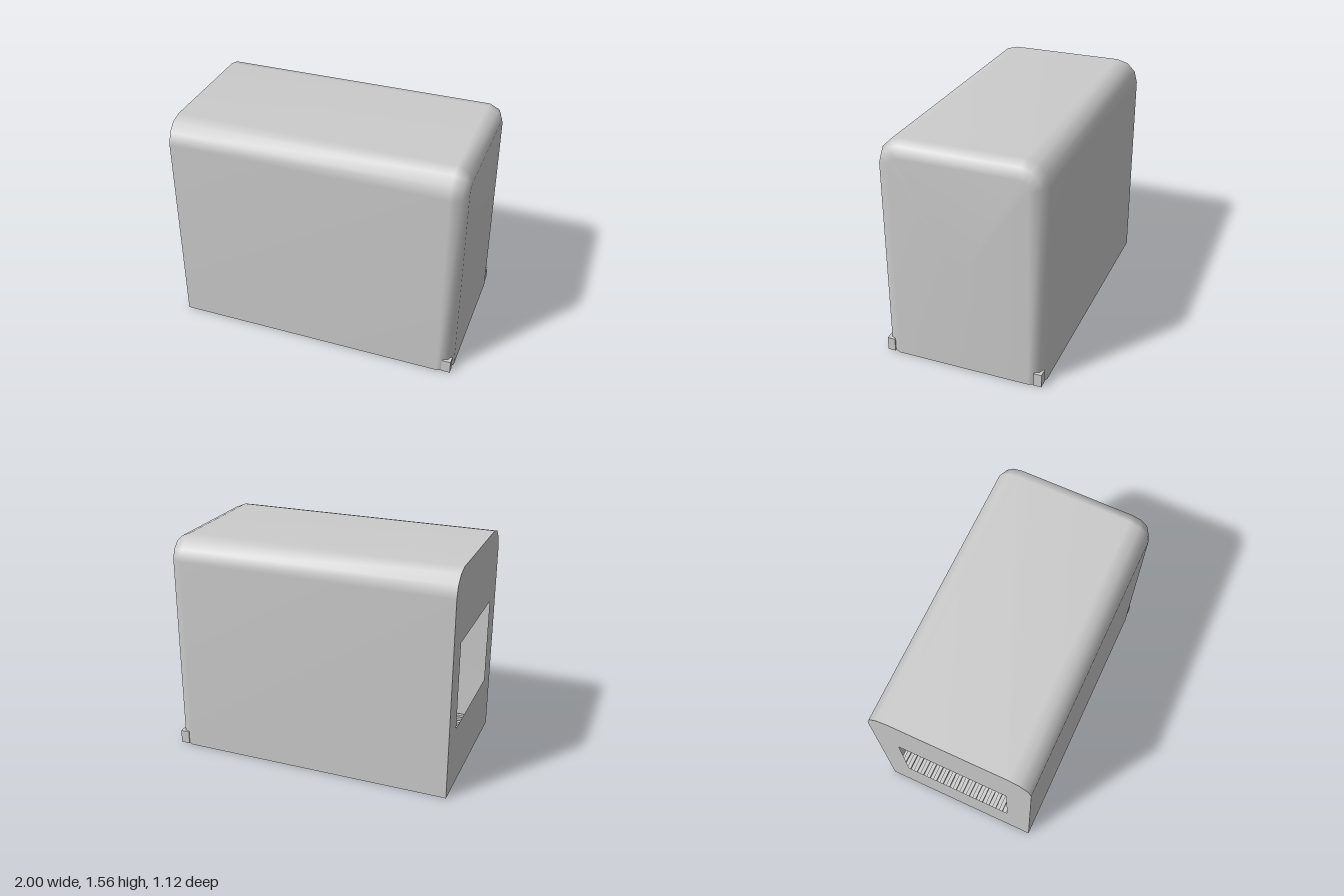
import * as THREE from 'three';

const HALF_W = 0.5625, TOP = 1.556, ROOF_R = 0.16, END_R = 0.1;

// Arch outline as [z, y] points, from the +z foot over the roof to the -z foot
function archPoints(inset) {
  const w = HALF_W - inset, r = ROOF_R - inset, cy = TOP - ROOF_R;
  const half = [[w, 0], [w, cy]];
  for (let k = 1; k <= 3; k++) {
    const a = (k / 3) * Math.PI / 2;
    half.push([w - r + r * Math.cos(a), cy + r * Math.sin(a)]);
  }
  return [...half, ...half.slice().reverse().map(([z, y]) => [-z, y])];
}

// Thin hood: arch lofted along x, rounded over into a closed end at +x
function hoodGeometry() {
  const rings = [[-1, 0], [0.9, 0], [0.97, 0.03], [1, END_R]];
  const pos = [], index = [];
  for (const [x, inset] of rings)
    for (const [z, y] of archPoints(inset)) pos.push(x, y, z);
  const n = archPoints(0).length;
  for (let i = 0; i < rings.length - 1; i++)
    for (let j = 0; j < n - 1; j++) {
      const a = i * n + j, b = a + n;
      index.push(a, b, b + 1, a, b + 1, a + 1);
    }
  // end cap fan
  const centre = pos.length / 3, base = (rings.length - 1) * n;
  pos.push(1, 0.7, 0);
  for (let j = 0; j < n; j++) index.push(centre, base + (j + 1) % n, base + j);
  const g = new THREE.BufferGeometry();
  g.setAttribute('position', new THREE.Float32BufferAttribute(pos, 3));
  g.setIndex(index);
  g.computeVertexNormals();
  return g;
}

// Flat entrance wall with a rectangular opening
function entranceGeometry() {
  const shape = new THREE.Shape(archPoints(0).map(([z, y]) => new THREE.Vector2(z, y)));
  const hole = [[-0.39, 0.435], [0.39, 0.435], [0.39, 1.045], [-0.39, 1.045]];
  shape.holes.push(new THREE.Path(hole.map(([z, y]) => new THREE.Vector2(z, y))));
  return new THREE.ShapeGeometry(shape).rotateY(-Math.PI / 2).translate(-1, 0, 0);
}

// Floor plate following the rounded corners of the closed end
function floorGeometry() {
  const w = HALF_W - 0.003;
  const side = [[-0.997, w], [0.9, w], [0.967, w - 0.03], [0.997, w - END_R]];
  const outline = [...side.map(([x, z]) => [x, -z]), ...side.slice().reverse()];
  const shape = new THREE.Shape(outline.map(([x, z]) => new THREE.Vector2(x, z)));
  return new THREE.ExtrudeGeometry(shape, { depth: 0.02, bevelEnabled: false })
    .rotateX(-Math.PI / 2);
}

export function createModel() {
  const model = new THREE.Group();
  const solid = new THREE.MeshStandardMaterial({ color: 0xcccccc });
  const thin = new THREE.MeshStandardMaterial({ color: 0xcccccc, side: THREE.DoubleSide });
  const add = (name, geometry, material, parent = model) => {
    const mesh = new THREE.Mesh(geometry, material);
    mesh.name = name;
    parent.add(mesh);
    return mesh;
  };

  add('hood', hoodGeometry(), thin);
  add('entranceWall', entranceGeometry(), thin);
  add('floor', floorGeometry(), solid);

  // Ridges running lengthwise on the floor
  const ridges = new THREE.Group();
  ridges.name = 'floorRidges';
  model.add(ridges);
  const count = 20, pitch = (2 * HALF_W - 0.02) / count;
  const ridge = new THREE.BoxGeometry(1.88, 0.03, pitch / 2);
  for (let i = 0; i < count; i++)
    add('ridge', ridge, solid, ridges).position.set(-0.04, 0.03, (i - (count - 1) / 2) * pitch);

  // Square corner posts at the closed end
  for (const s of [-1, 1])
    add('cornerPost', new THREE.BoxGeometry(0.062, 0.093, 0.054), solid)
      .position.set(0.963, 0.0465, s * 0.529);

  return model;
}
